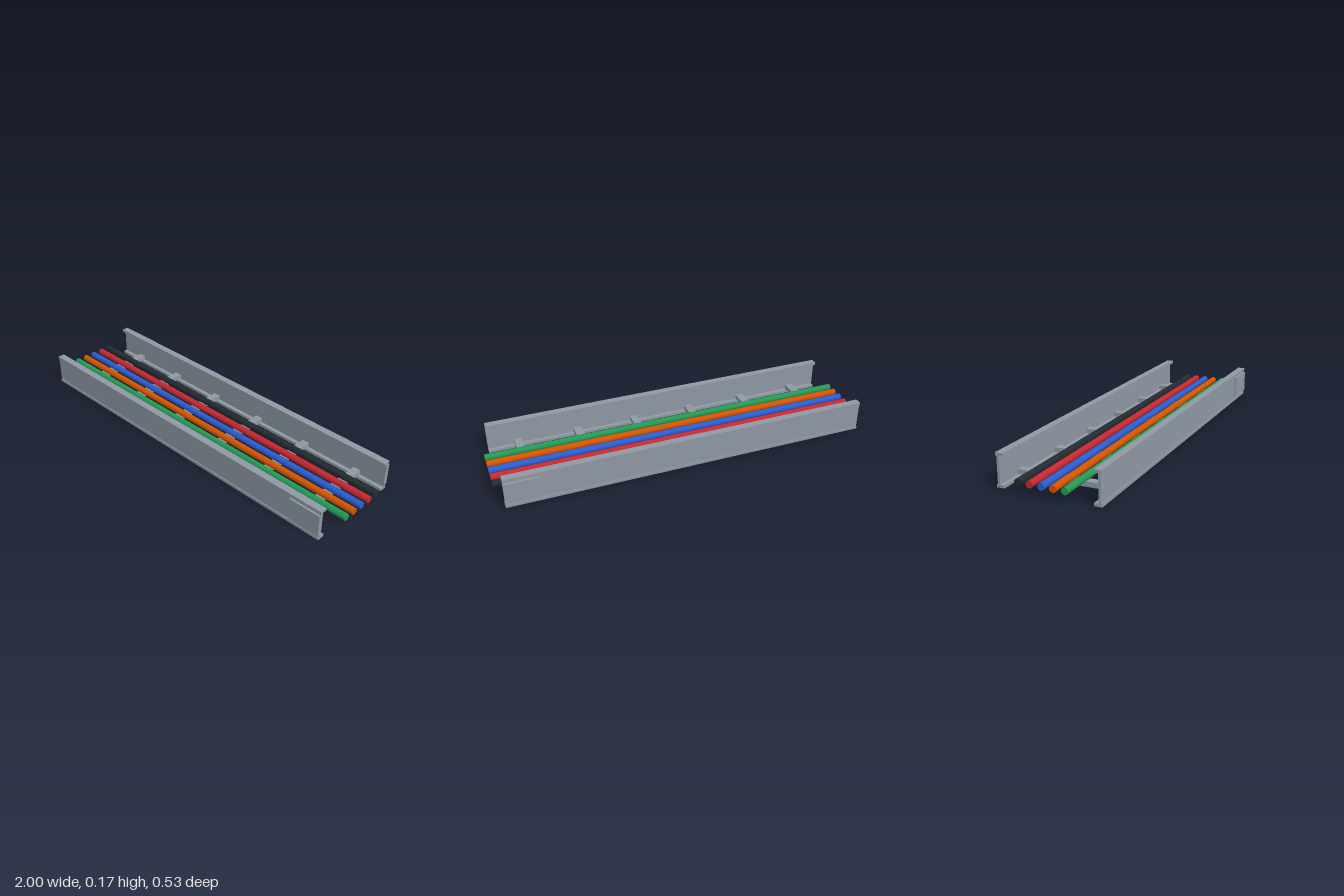
import * as THREE from 'three';

export function createModel() {
  const model = new THREE.Group();
  model.name = 'cableLadder';

  const mat = (name, color) => {
    const m = new THREE.MeshStandardMaterial({ color });
    m.name = name;
    return m;
  };
  const steel = mat('galvanisedSteel', 0x8f98a3);

  const box = (parent, name, w, h, d, x, y, z) => {
    const mesh = new THREE.Mesh(new THREE.BoxGeometry(w, h, d), steel);
    mesh.name = name;
    mesh.position.set(x, y, z);
    parent.add(mesh);
  };

  // Side rails: web between two flanges, with a splice plate on the outside
  const railLength = 1.93;
  for (const side of [1, -1]) {
    const rail = new THREE.Group();
    rail.name = side > 0 ? 'frontRail' : 'backRail';
    box(rail, 'web', railLength, 0.136, 0.012, 0, 0.0825, side * 0.25);
    box(rail, 'bottomFlange', railLength, 0.015, 0.038, 0, 0.0075, side * 0.242);
    box(rail, 'topFlange', railLength, 0.015, 0.038, 0, 0.1575, side * 0.242);
    box(rail, 'splicePlate', 0.175, 0.117, 0.011, 0.8775, 0.0825, side * 0.261);
    model.add(rail);
  }

  // Rungs resting on the bottom flanges
  const rungs = new THREE.Group();
  rungs.name = 'rungs';
  for (let i = 0; i < 6; i++) {
    box(rungs, 'rung' + (i + 1), 0.04, 0.025, 0.488, -0.807 + i * 0.3228, 0.0275, 0);
  }
  model.add(rungs);

  // Cables lying along the rungs
  const cables = [
    ['green', 0x229954],
    ['orange', 0xd35400],
    ['blue', 0x2a5cd0],
    ['red', 0xc4282f],
    ['black', 0x212b30],
  ];
  const cableGeometry = new THREE.CylinderGeometry(0.0175, 0.0175, 2, 20).rotateZ(Math.PI / 2);
  cables.forEach(([name, color], i) => {
    const cable = new THREE.Mesh(cableGeometry, mat(name + 'Sheath', color));
    cable.name = name + 'Cable';
    cable.position.set(0, 0.0585, 0.104 - i * 0.058);
    model.add(cable);
  });

  return model;
}
